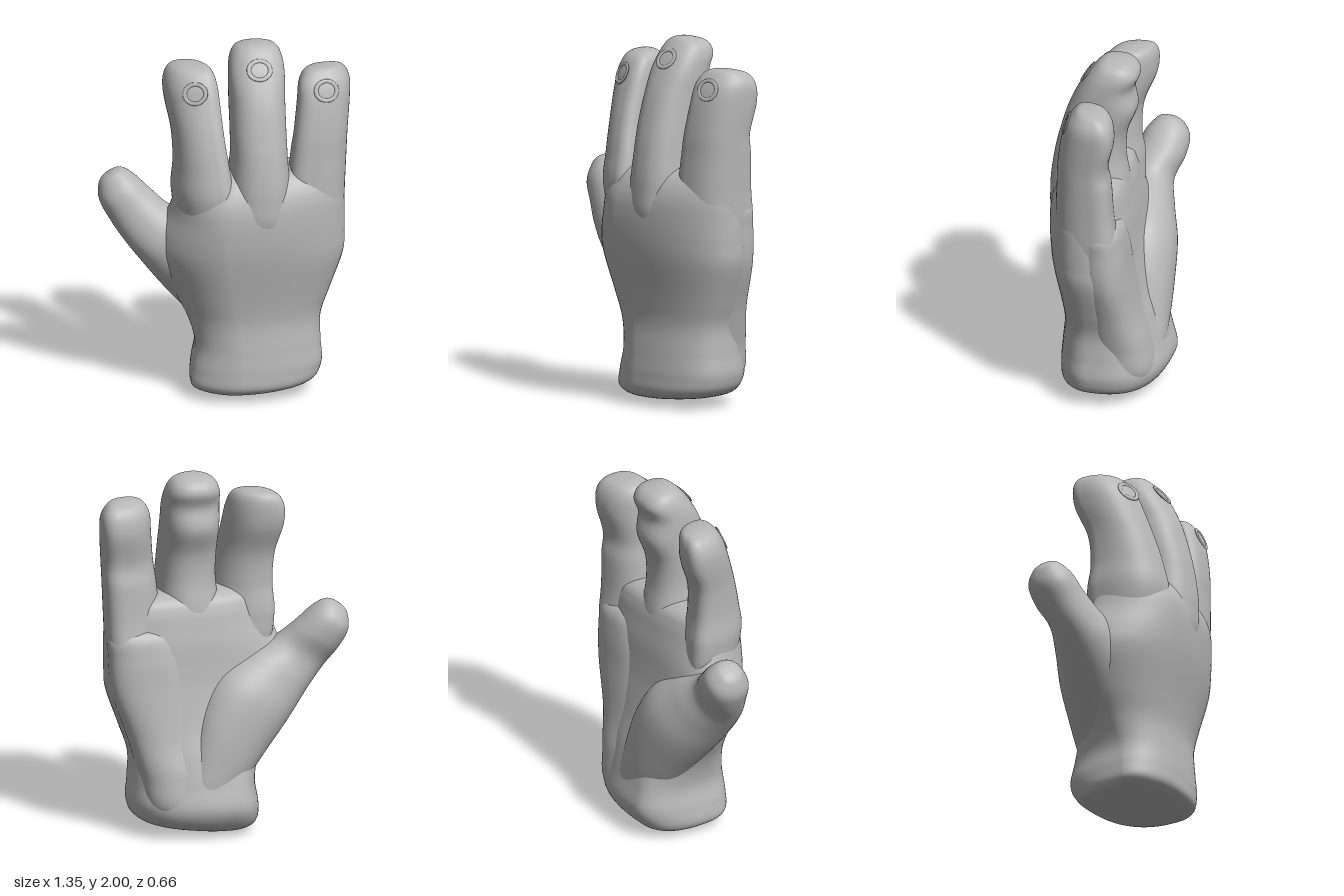
import * as THREE from 'three';
import { mergeVertices } from 'three/addons/utils/BufferGeometryUtils.js';

const skin = new THREE.MeshStandardMaterial({ color: 0xb8b8b8 });
skin.name = 'clay grey';

// Cubic interpolation through the rows, column by column
function sampleRows(rows, t) {
  const f = t * (rows.length - 1);
  const i = Math.min(Math.floor(f), rows.length - 2);
  const row = (k) => rows[THREE.MathUtils.clamp(k, 0, rows.length - 1)];
  const u = f - i;
  return rows[0].map((_, c) => {
    const [a, b, d, e] = [row(i - 1)[c], row(i)[c], row(i + 1)[c], row(i + 2)[c]];
    const m0 = (d - a) / 2, m1 = (e - b) / 2;
    return b + u * (m0 + u * (3 * (d - b) - 2 * m0 - m1 + u * (2 * (b - d) + m0 + m1)));
  });
}

// Row: y, left (x, z), front (x, z), right (x, z), back (x, z).
// Each quadrant between these extremes is a superellipse arc with its own power:
// right front, left front, left back, right back.
function loft(name, rows, powers, steps = 8) {
  const sides = 56, n = (rows.length - 1) * steps;
  const pos = [], index = [];
  for (let j = 0; j <= n; j++) {
    const [y, xl, zl, xf, zf, xr, zr, xb, zb] = sampleRows(rows, j / n);
    for (let i = 0; i < sides; i++) {
      const a = (i / sides) * Math.PI * 2;
      const c = Math.cos(a), s = Math.sin(a);
      const power = powers[Math.floor((i * 4) / sides)];
      const C = Math.abs(c) ** power, S = Math.abs(s) ** power;
      const [ex, ez] = c >= 0 ? [xr, zr] : [xl, zl];
      const [px, pz] = s >= 0 ? [xf, zf] : [xb, zb];
      pos.push(px + (ex - px) * C, y, ez + (pz - ez) * S);
    }
  }
  for (let j = 0; j < n; j++) {
    for (let i = 0; i < sides; i++) {
      const a = j * sides + i, b = j * sides + ((i + 1) % sides);
      index.push(a, a + sides, b, b, a + sides, b + sides);
    }
  }
  let g = new THREE.BufferGeometry();
  g.setAttribute('position', new THREE.Float32BufferAttribute(pos, 3));
  g.setIndex(index);
  g = mergeVertices(g, 1e-5);
  g.computeVertexNormals();
  const mesh = new THREE.Mesh(g, skin);
  mesh.name = name;
  return mesh;
}

// Row: y, left x, right x, front z, back z; lean turns the section about its axis
function finger(name, rows, lean = 0, power = 0.8) {
  return loft(name, rows.map(([y, l, r, f, b]) => {
    const x = (l + r) / 2, z = (f + b) / 2, k = lean * (r - l), d = lean * (f - b);
    return [y, l, z - d, x + k, f, r, z + d, x - k, b];
  }), [power, power, power, power]);
}

// Nail: a soft plate with a low rounded rim
function nail(name, x, y, z, tilt, turn) {
  const g = new THREE.Group();
  g.name = name;
  const rim = new THREE.Mesh(new THREE.TorusGeometry(0.055, 0.012, 10, 36), skin);
  rim.name = name + 'Rim';
  rim.scale.set(1.05, 0.95, 0.5);
  const plate = new THREE.Mesh(new THREE.SphereGeometry(0.05, 28, 14), skin);
  plate.name = name + 'Plate';
  plate.scale.set(1, 0.9, 0.09);
  g.add(rim, plate);
  g.position.set(x, y, z);
  g.rotation.set(-tilt, turn, 0);
  return g;
}

export function createModel() {
  const hand = new THREE.Group();
  hand.name = 'hand';

  // Wrist and palm, widening into the thumb web on the left
  hand.add(loft('palm', [
    [0.00, -0.01, -0.12, -0.01, -0.12, -0.01, -0.12, -0.01, -0.12],
    [0.03, -0.14, -0.02, 0.03, 0.15, 0.24, -0.03, 0.00, -0.22],
    [0.075, -0.195, 0.08, 0.07, 0.25, 0.455, 0.03, 0.00, -0.285],
    [0.17, -0.19, 0.08, 0.07, 0.26, 0.515, 0.04, 0.00, -0.33],
    [0.30, -0.17, 0.06, 0.07, 0.25, 0.51, 0.04, 0.00, -0.305],
    [0.45, -0.21, 0.02, 0.05, 0.24, 0.51, 0.04, 0.02, -0.265],
    [0.60, -0.29, -0.03, 0.02, 0.26, 0.56, 0.04, 0.06, -0.215],
    [0.80, -0.38, -0.07, -0.01, 0.30, 0.63, 0.04, 0.10, -0.172],
    [0.92, -0.375, -0.07, -0.02, 0.318, 0.64, 0.04, 0.12, -0.155],
    [1.05, -0.315, -0.02, -0.02, 0.325, 0.64, 0.04, 0.14, -0.142],
    [1.15, -0.285, 0.02, -0.01, 0.316, 0.635, 0.05, 0.16, -0.125],
    [1.23, -0.265, 0.04, 0.02, 0.285, 0.62, 0.05, 0.18, -0.11],
    [1.29, -0.235, 0.05, 0.05, 0.235, 0.57, 0.05, 0.18, -0.085],
    [1.325, -0.12, 0.06, 0.10, 0.16, 0.40, 0.05, 0.18, -0.03],
    [1.335, 0.15, 0.06, 0.15, 0.06, 0.15, 0.06, 0.15, 0.06],
  ], [0.9, 1.1, 0.86, 0.78]));

  // Fleshy heel on the outer side of the palm
  hand.add(finger('outerPalmMound', [
    [0.06, 0.26, 0.26, -0.10, -0.10],
    [0.16, 0.08, 0.44, 0.05, -0.27],
    [0.35, 0.06, 0.485, 0.08, -0.265],
    [0.55, 0.10, 0.54, 0.08, -0.215],
    [0.80, 0.16, 0.622, 0.08, -0.18],
    [1.00, 0.22, 0.64, 0.08, -0.16],
    [1.13, 0.30, 0.63, 0.06, -0.125],
    [1.20, 0.47, 0.47, 0.00, 0.00],
  ], 0, 0.85));

  // Three fingers, the outer two turned away from the middle one
  hand.add(finger('indexFinger', [
    [0.75, -0.08, -0.08, 0.08, 0.08],
    [0.98, -0.25, 0.02, 0.24, -0.08],
    [1.18, -0.295, 0.02, 0.29, -0.10],
    [1.35, -0.287, 0.00, 0.265, -0.08],
    [1.52, -0.295, -0.025, 0.22, -0.09],
    [1.68, -0.325, -0.04, 0.165, -0.15],
    [1.78, -0.33, -0.05, 0.125, -0.165],
    [1.85, -0.305, -0.07, 0.08, -0.155],
    [1.88, -0.255, -0.11, 0.03, -0.12],
    [1.89, -0.18, -0.18, -0.04, -0.04],
  ], 0.27, 0.88));
  hand.add(finger('middleFinger', [
    [0.75, 0.14, 0.14, 0.12, 0.12],
    [1.00, 0.01, 0.30, 0.30, -0.07],
    [1.20, -0.002, 0.33, 0.32, -0.11],
    [1.40, 0.015, 0.32, 0.298, -0.085],
    [1.55, 0.015, 0.315, 0.265, -0.095],
    [1.70, 0.015, 0.315, 0.22, -0.15],
    [1.82, 0.015, 0.317, 0.165, -0.135],
    [1.91, 0.025, 0.31, 0.11, -0.165],
    [1.97, 0.055, 0.28, 0.06, -0.135],
    [1.995, 0.11, 0.22, 0.025, -0.07],
    [2.00, 0.165, 0.165, -0.01, -0.01],
  ], 0.03, 0.82));
  hand.add(finger('outerFinger', [
    [0.70, 0.46, 0.46, 0.04, 0.04],
    [0.85, 0.34, 0.60, 0.19, -0.10],
    [1.02, 0.325, 0.638, 0.22, -0.13],
    [1.22, 0.325, 0.647, 0.222, -0.11],
    [1.40, 0.343, 0.655, 0.213, -0.10],
    [1.52, 0.36, 0.66, 0.205, -0.085],
    [1.68, 0.38, 0.675, 0.18, -0.12],
    [1.78, 0.39, 0.675, 0.15, -0.115],
    [1.84, 0.42, 0.645, 0.11, -0.08],
    [1.865, 0.47, 0.60, 0.08, -0.02],
    [1.87, 0.535, 0.535, 0.04, 0.04],
  ], -0.2, 0.82));

  // Thumb with the wide mound at its base, built upright and then tilted outward
  const thumb = finger('thumb', [
    [-0.47, 0.09, 0.09, -0.20, -0.20],
    [-0.38, 0.00, 0.18, -0.10, -0.29],
    [-0.20, -0.08, 0.27, 0.00, -0.305],
    [0.02, -0.105, 0.34, 0.06, -0.305],
    [0.22, -0.125, 0.35, 0.11, -0.29],
    [0.40, -0.135, 0.27, 0.105, -0.24],
    [0.55, -0.143, 0.17, 0.06, -0.205],
    [0.68, -0.143, 0.13, 0.02, -0.245],
    [0.79, -0.13, 0.105, -0.01, -0.255],
    [0.86, -0.085, 0.075, -0.06, -0.215],
    [0.885, -0.045, 0.035, -0.09, -0.17],
    [0.89, 0.00, 0.00, -0.13, -0.13],
  ], 0, 0.92);
  thumb.position.set(-0.12, 0.5, 0);
  thumb.rotation.z = THREE.MathUtils.degToRad(34);
  hand.add(thumb);

  // Nails
  hand.add(nail('indexNail', -0.18, 1.77, 0.122, 0.42, -0.34));
  hand.add(nail('middleNail', 0.17, 1.89, 0.121, 0.6, 0));
  hand.add(nail('outerNail', 0.53, 1.765, 0.148, 0.34, 0.15));
  return hand;
}
